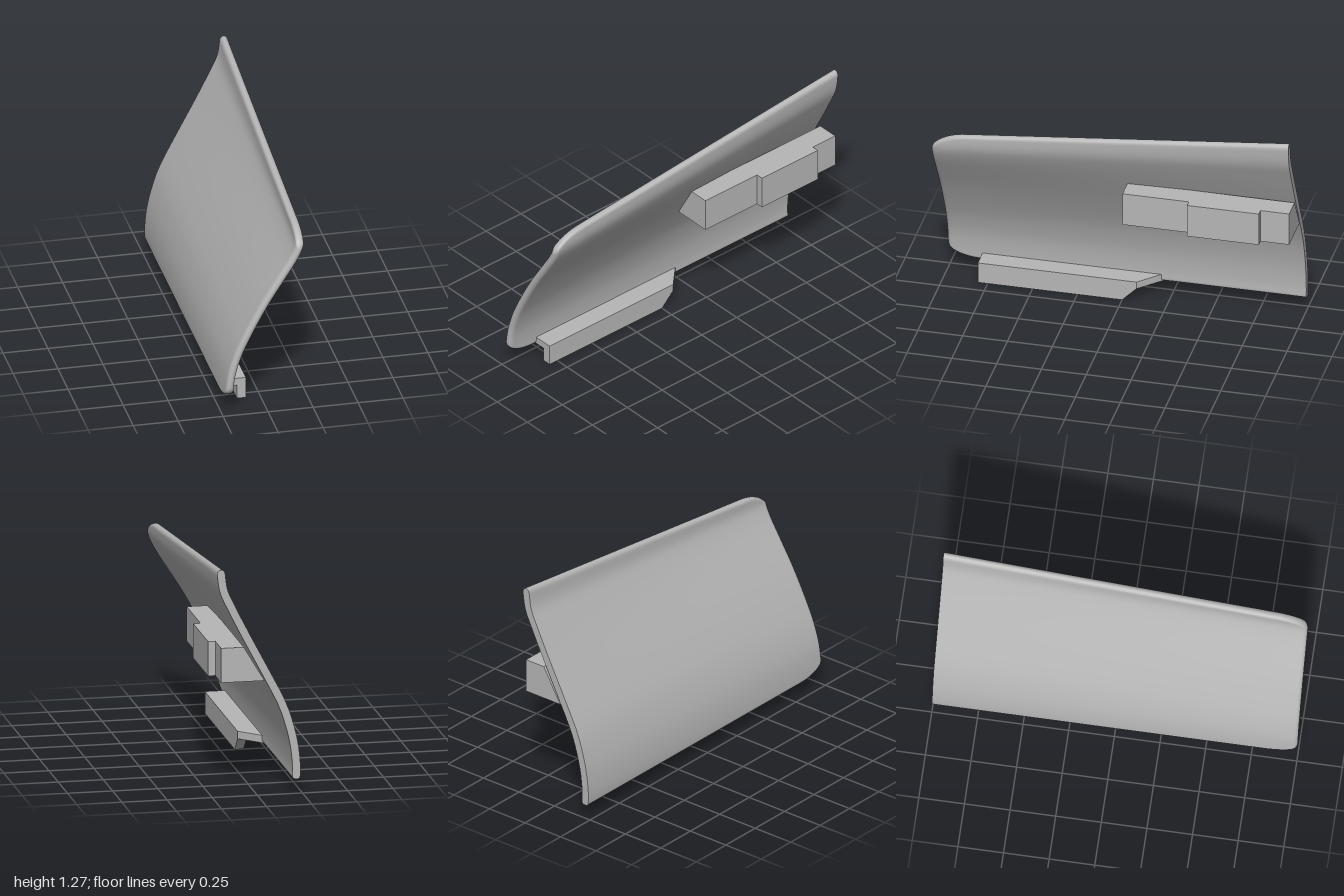
import * as THREE from 'three';

const grey = new THREE.MeshStandardMaterial({ color: 0xb6b6b6 });
grey.name = 'plain grey';

const curve = (pts) => new THREE.CatmullRomCurve3(pts.map(([x, y]) => new THREE.Vector3(x, y, 0)));
// Centre lines of the panel at its front and back ends, bottom to top
const frontLine = curve([[-0.215, 0.08], [-0.21, 0.15], [-0.195, 0.25], [-0.16, 0.36], [-0.12, 0.45],
  [-0.02, 0.64], [0.08, 0.8], [0.148, 0.91], [0.178, 0.98], [0.182, 1.052]]);
const backLine = curve([[-0.215, 0.08], [-0.217, 0.15], [-0.205, 0.27], [-0.18, 0.38], [-0.14, 0.5],
  [-0.05, 0.68], [0.06, 0.89], [0.14, 1.05], [0.185, 1.15], [0.203, 1.272]]);

// Quarter-circle falloff towards a rounded rim
const rim = (d, r) => (d >= r ? 1 : Math.sqrt(Math.max(0, 1 - (1 - d / r) ** 2)));

const ROWS = 36;
const HALF = 0.022;

// Closed cross-section of the panel at depth z: up the +x side, down the -x side
function section(z) {
  const cut = 0.14 * (1 - rim(1 - z, 0.18));
  const thick = HALF * Math.max(0.08, rim(1 - z, 0.025));
  const at = (t) => frontLine.getPoint(t).lerp(backLine.getPoint(t), (1 - z) / 2);
  const outer = [], inner = [];
  for (let k = 0; k <= ROWS; k++) {
    const v = (1 - Math.cos((Math.PI * k) / ROWS)) / 2;
    const t = cut + v * (1 - 2 * cut);
    const p = at(t);
    const d = at(Math.min(1, t + 0.01)).sub(at(Math.max(0, t - 0.01))).normalize();
    const h = thick * Math.max(0.1, rim(Math.min(v, 1 - v), 0.022));
    outer.push([p.x + d.y * h, p.y - d.x * h, z]);
    inner.unshift([p.x - d.y * h, p.y + d.x * h, z]);
  }
  return [...outer, ...inner];
}

function meshData(points, index) {
  const g = new THREE.BufferGeometry();
  g.setAttribute('position', new THREE.Float32BufferAttribute(points.flat(), 3));
  g.setIndex(index);
  g.computeVertexNormals();
  return g;
}

function skin(loops) {
  const n = loops[0].length, index = [];
  for (let i = 0; i < loops.length - 1; i++) {
    for (let j = 0; j < n; j++) {
      const a = i * n + j, b = i * n + ((j + 1) % n);
      index.push(a, b, b + n, a, b + n, a + n);
    }
  }
  return meshData(loops.flat(), index);
}

// Flat end across one section
function cap(loop, facesFront) {
  const n = loop.length, index = [];
  for (let j = 0; j < n / 2 - 1; j++) {
    const a = j, b = j + 1, c = n - 2 - j, d = n - 1 - j;
    if (facesFront) index.push(a, b, c, a, c, d);
    else index.push(a, c, b, a, d, c);
  }
  return meshData(loop, index);
}

function prism(points, depth) {
  const shape = new THREE.Shape(points.map(([x, y]) => new THREE.Vector2(x, y)));
  return new THREE.ExtrudeGeometry(shape, { depth, bevelEnabled: false });
}

export function createModel() {
  const model = new THREE.Group();
  model.name = 'curvedPanel';
  const add = (name, geometry) => {
    const mesh = new THREE.Mesh(geometry, grey);
    mesh.name = name;
    model.add(mesh);
  };

  // Curved panel, with columns closer together at the rounded front
  const depths = [];
  for (let i = 0; i <= 16; i++) depths.push(-1 + (i / 16) * 1.8);
  for (let i = 1; i <= 20; i++) depths.push(0.8 + 0.2 * Math.sin((i / 20) * Math.PI / 2));
  const loops = depths.map(section);
  add('panel', skin(loops));
  add('panelBackEnd', cap(loops[0], false));
  add('panelFrontEdge', cap(loops[loops.length - 1], true));

  // Upper mounting block, sunk into the panel, with a raised pad
  add('upperBlock', prism([[-0.04, 0.64], [0.2, 0.64], [0.2, 0.833], [0.075, 0.833]], 0.93).translate(0, 0, -1));
  add('upperPad', new THREE.BoxGeometry(0.06, 0.193, 0.4).translate(0.21, 0.7365, -0.64));

  // Lower flange with its end cut diagonally, drawn in plan as x and -z
  add('lowerFlange', prism([[-0.205, -0.805], [-0.08, -0.805], [-0.08, 0.08], [-0.205, 0.205]], 0.042)
    .rotateX(-Math.PI / 2).translate(0, 0.08, 0));

  // Lower lip hanging from the flange, drawn from the side as z and y
  add('lowerLip', prism([[0.805, 0], [0.805, 0.08], [-0.08, 0.08], [0, 0]], 0.05)
    .rotateY(-Math.PI / 2).translate(-0.08, 0, 0));

  return model;
}
